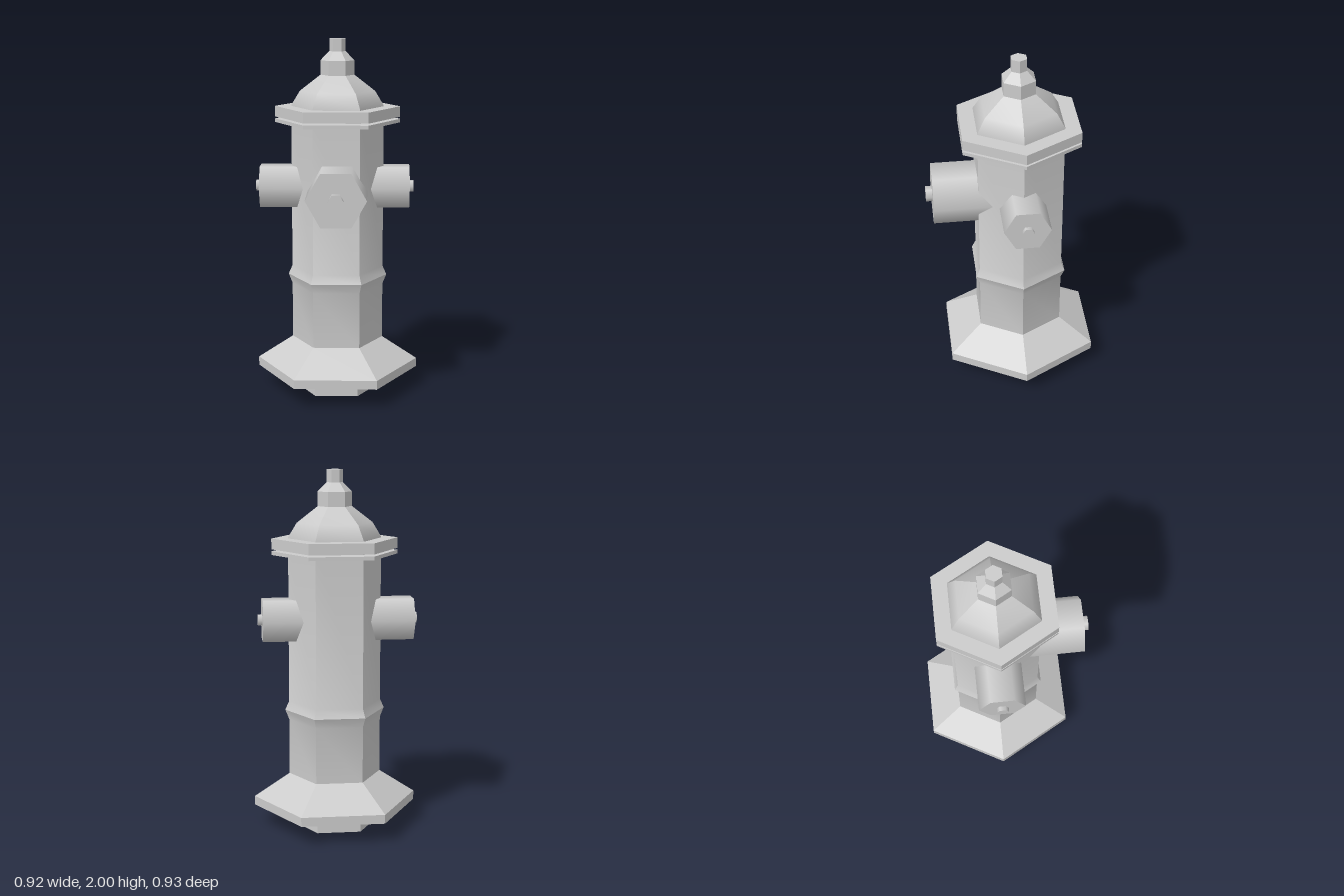
import * as THREE from 'three';
import { toCreasedNormals } from 'three/addons/utils/BufferGeometryUtils.js';

const CENTER_Z = -0.05;
const STRETCH_Z = 1.045; // the hexagon is slightly deeper than regular

export function createModel() {
  const model = new THREE.Group();
  model.name = 'fireHydrant';
  const material = new THREE.MeshStandardMaterial({ color: 0xcccccc });

  // Six-sided turned part with corners on the x axis; profile is [radius, height], bottom to top
  function hexTurned(name, profile) {
    const points = profile.map(([r, y]) => new THREE.Vector2(r, y));
    const lathe = new THREE.LatheGeometry(points, 6, Math.PI / 2);
    lathe.scale(1, 1, STRETCH_Z);
    const mesh = new THREE.Mesh(toCreasedNormals(lathe, THREE.MathUtils.degToRad(30)), material);
    mesh.name = name;
    mesh.position.z = CENTER_Z;
    model.add(mesh);
  }

  hexTurned('foot', [[0, 0], [0.24, 0], [0.24, 0.13], [0, 0.13]]);
  hexTurned('baseSkirt', [[0, 0.11], [0.457, 0.11], [0.457, 0.16], [0.258, 0.29], [0, 0.29]]);
  hexTurned('barrel', [
    [0, 0.28], [0.258, 0.28], [0.258, 0.605], [0.28, 0.66], [0.258, 0.71], [0.258, 1.6], [0, 1.6],
  ]);
  hexTurned('lowerFlange', [[0, 1.535], [0.35, 1.535], [0.35, 1.555], [0, 1.555]]);
  hexTurned('capFlange', [[0, 1.566], [0.35, 1.566], [0.35, 1.625], [0, 1.625]]);
  hexTurned('dome', [[0.258, 1.62], [0.258, 1.63], [0.21, 1.71], [0.094, 1.8], [0, 1.8]]);
  hexTurned('topNut', [
    [0.094, 1.79], [0.094, 1.88], [0.045, 1.93], [0.045, 2], [0, 2],
  ]);

  // Hexagonal outlet along +z, from the barrel axis to its end, with a small nut on the cap
  function outlet(name, radius, length, nutRadius, nutLength) {
    const group = new THREE.Group();
    group.name = name;
    const prism = (partName, r, from, to) => {
      const geometry = new THREE.CylinderGeometry(r, r, to - from, 6, 1, false, Math.PI / 2);
      geometry.rotateX(Math.PI / 2);
      geometry.scale(1, 1.025, 1);
      const mesh = new THREE.Mesh(geometry, material);
      mesh.name = partName;
      mesh.position.z = (from + to) / 2;
      group.add(mesh);
    };
    prism('outletBody', radius, 0.1, length);
    prism('outletNut', nutRadius, length - 0.01, length + nutLength);
    model.add(group);
    return group;
  }

  outlet('frontOutlet', 0.165, 0.48, 0.042, 0.035).position.set(0.005, 1.175, CENTER_Z);

  const left = outlet('leftOutlet', 0.128, 0.405, 0.033, 0.024);
  left.position.set(0, 1.175, -0.053);
  left.rotation.y = Math.PI / 2;

  const right = outlet('rightOutlet', 0.128, 0.435, 0.033, 0.024);
  right.position.set(0, 1.175, -0.053);
  right.rotation.y = -Math.PI / 2;

  return model;
}
